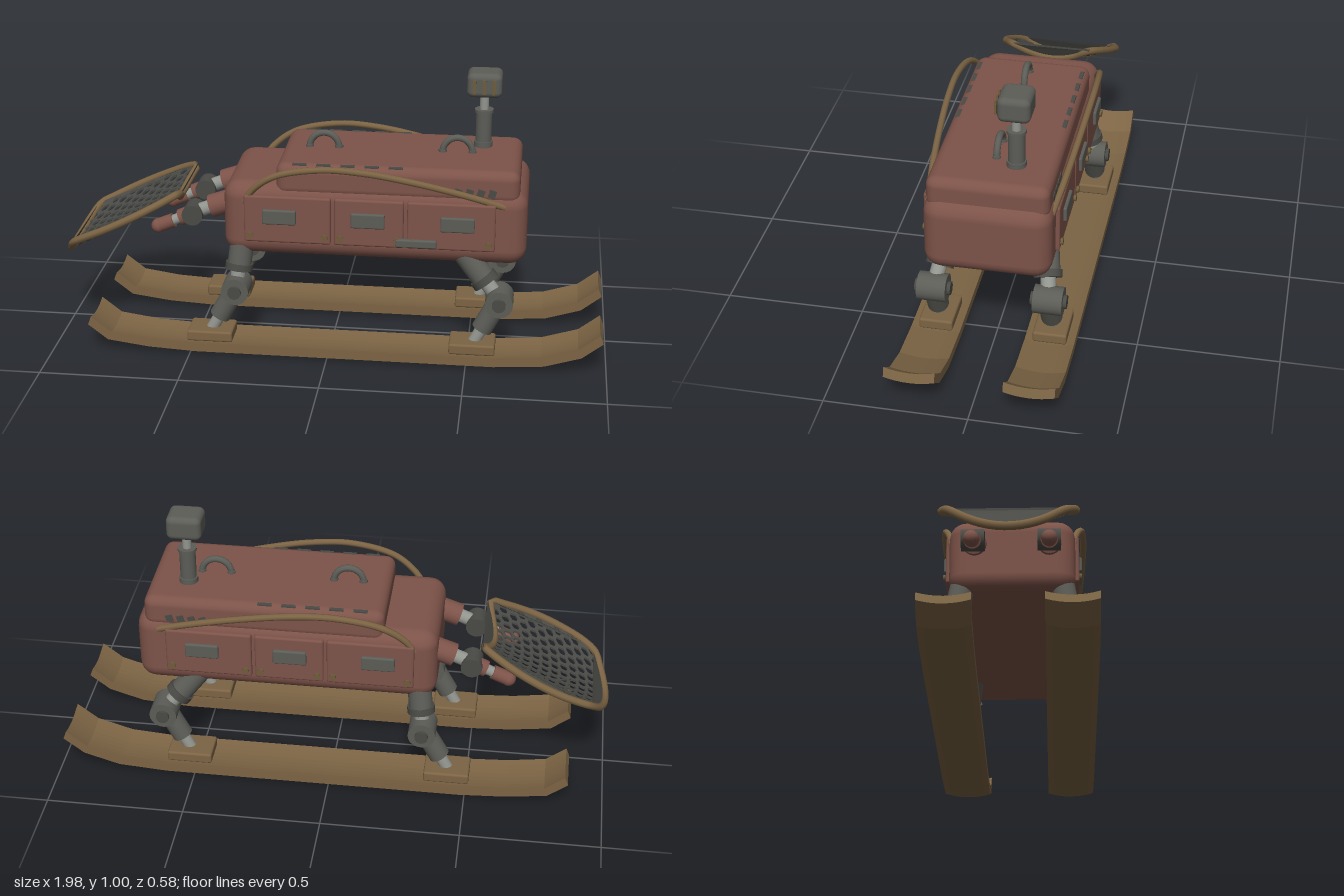
import * as THREE from 'three';
import { RoundedBoxGeometry } from 'three/addons/geometries/RoundedBoxGeometry.js';

const mat = (name, color) => Object.assign(new THREE.MeshStandardMaterial({ color }), { name });
const V = (x, y, z) => new THREE.Vector3(x, y, z);

export function createModel() {
  const red = mat('red brown shell', 0x7d5349);
  const wood = mat('tan wood', 0x7c6444);
  const grey = mat('grey metal', 0x5c5d57);
  const dark = mat('dark metal', 0x4a4a46);
  const silver = mat('silver rod', 0x93958f);
  const brass = mat('dull brass', 0x6f5c3a);

  const model = new THREE.Group();
  model.name = 'sledWalker';

  const add = (name, geo, material, x = 0, y = 0, z = 0, parent = model) => {
    const m = new THREE.Mesh(geo, material);
    m.name = name;
    m.position.set(x, y, z);
    parent.add(m);
    return m;
  };
  const box = (name, material, w, h, d, x, y, z, r = 0) =>
    add(name, r ? new RoundedBoxGeometry(w, h, d, 3, r) : new THREE.BoxGeometry(w, h, d), material, x, y, z);
  // Cylinder running from a to b
  const rod = (name, material, a, b, r0, r1 = r0, sides = 20) => {
    const dir = b.clone().sub(a);
    const mid = a.clone().lerp(b, 0.5);
    const m = add(name, new THREE.CylinderGeometry(r1, r0, dir.length(), sides), material, mid.x, mid.y, mid.z);
    m.quaternion.setFromUnitVectors(V(0, 1, 0), dir.normalize());
    return m;
  };
  const tube = (name, material, pts, r, closed = false) =>
    add(name, new THREE.TubeGeometry(new THREE.CatmullRomCurve3(pts, closed, 'centripetal'), 64, r, 8, closed), material);

  // Hull and lid
  box('hull', red, 1.08, 0.275, 0.44, 0.16, 0.508, 0, 0.06);
  box('lid', red, 0.86, 0.12, 0.42, 0.24, 0.66, 0, 0.035);

  // Lid handles
  for (const x of [-0.04, 0.44]) {
    add('lidHandle', new THREE.TorusGeometry(0.053, 0.012, 10, 20, Math.PI), grey, x, 0.72, 0);
    for (const s of [-1, 1]) add('handleFoot', new THREE.CylinderGeometry(0.015, 0.015, 0.012, 12), grey, x + s * 0.053, 0.722, 0);
  }

  // Sensor mast
  const mx = 0.528, mz = -0.075;
  for (const [y0, y1, r, c] of [[0.71, 0.86, 0.029, grey], [0.722, 0.742, 0.034, grey], [0.85, 0.861, 0.034, grey], [0.85, 0.93, 0.016, silver]])
    rod('mast', c, V(mx, y0, mz), V(mx, y1, mz), r);
  box('sensorHead', grey, 0.125, 0.09, 0.112, mx, 0.96, mz, 0.022);
  for (const dx of [-0.035, 0, 0.035]) box('sensorSlat', brass, 0.011, 0.052, 0.007, mx + dx, 0.96, -0.012);

  // Details and running gear, mirrored to both sides
  for (const s of [-1, 1]) {
    // Side panels with windows and bolts
    for (const [x0, x1, wx] of [[-0.3, 0.01, -0.173], [0.022, 0.268, 0.142], [0.28, 0.59, 0.458]]) {
      box('sidePanel', red, x1 - x0, 0.175, 0.026, (x0 + x1) / 2, 0.52, s * 0.221, 0.008);
      box('window', grey, 0.12, 0.055, 0.02, wx, 0.532, s * 0.235, 0.006);
      for (const x of [x0 + 0.022, x1 - 0.022]) rod('bolt', brass, V(x, 0.46, s * 0.22), V(x, 0.46, s * 0.243), 0.012, 0.012, 10);
    }
    // Vents on the lid top and the lid side
    for (let i = 0; i < 5; i++) box('lidVent', dark, 0.05, 0.01, 0.014, -0.105 + i * 0.085, 0.714, s * 0.188);
    for (let i = 0; i < 4; i++) box('sideVent', dark, 0.025, 0.028, 0.01, 0.455 + i * 0.04, 0.643, s * 0.208).rotation.z = -0.3;

    // Bowed grab rail
    tube('grabRail', wood, [V(-0.3, 0.58, s * 0.213), V(-0.26, 0.635, s * 0.226), V(-0.18, 0.69, s * 0.244),
      V(-0.02, 0.722, s * 0.254), V(0.13, 0.715, s * 0.252), V(0.3, 0.685, s * 0.243), V(0.48, 0.64, s * 0.228), V(0.62, 0.595, s * 0.21)], 0.012);

    // Legs: telescopic thigh, round knee, telescopic shin
    for (const [hx, hy, kx, ky, ax] of [[-0.312, 0.455, -0.336, 0.24, -0.43], [0.46, 0.43, 0.612, 0.24, 0.525]]) {
      const hip = V(hx, hy, s * 0.165), knee = V(kx, ky, s * 0.203), ankle = V(ax, 0.07, s * 0.203);
      const on = (a, b, t) => a.clone().lerp(b, t);
      add('hipJoint', new THREE.SphereGeometry(0.05, 20, 14), grey, hip.x, hip.y, hip.z);
      rod('thigh', grey, hip, on(hip, knee, 0.68), 0.043);
      rod('thighCollar', dark, on(hip, knee, 0.58), on(hip, knee, 0.69), 0.05);
      rod('thighRod', silver, on(hip, knee, 0.6), knee, 0.027);
      rod('knee', grey, V(kx, ky, s * 0.152), V(kx, ky, s * 0.254), 0.05);
      rod('kneeCap', dark, V(kx, ky, s * 0.14), V(kx, ky, s * 0.266), 0.024);
      rod('shin', grey, knee, on(knee, ankle, 0.68), 0.038);
      rod('shinRod', silver, on(knee, ankle, 0.6), ankle, 0.022);
      box('skiBinding', wood, 0.165, 0.04, 0.12, ax + (ax < 0 ? 0 : -0.005), 0.062, s * 0.203, 0.008);
    }

    // Ski: side profile extruded across, then cupped
    const line = [[-0.872, 0.098], [-0.8, 0.042], [-0.65, 0.022], [-0.48, 0.013], [0.6, 0.013], [0.78, 0.026], [0.91, 0.066], [0.985, 0.125]];
    const profile = new THREE.Shape([
      ...line.map(([x, y]) => new THREE.Vector2(x, y - 0.011)),
      ...line.map(([x, y]) => new THREE.Vector2(x - Math.sign(x) * (Math.abs(x) > 0.7 ? 0.012 : 0), y + 0.021)).reverse()]);
    const ski = new THREE.ExtrudeGeometry(profile, { depth: 0.175, steps: 8, bevelEnabled: false });
    ski.translate(0, 0, -0.0875);
    const p = ski.attributes.position;
    for (let i = 0; i < p.count; i++) p.setY(i, p.getY(i) + 0.013 * (p.getZ(i) / 0.0875) ** 2);
    ski.computeVertexNormals();
    add('ski', ski, wood, 0, 0, s * 0.203);

    // Arm holding the scoop
    const z = s * 0.13;
    rod('shoulder', red, V(-0.34, 0.555, z), V(-0.435, 0.522, z), 0.042);
    rod('upperArmRod', silver, V(-0.42, 0.527, z), V(-0.5, 0.495, z), 0.025);
    rod('elbow', dark, V(-0.5, 0.495, z - 0.04), V(-0.5, 0.495, z + 0.04), 0.038);
    rod('forearm', red, V(-0.5, 0.495, z), V(-0.55, 0.472, z), 0.03);
    rod('forearmRod', silver, V(-0.54, 0.477, z), V(-0.59, 0.453, z), 0.019);
    rod('wrist', red, V(-0.575, 0.46, z), V(-0.63, 0.437, z), 0.026);
    add('hand', new THREE.SphereGeometry(0.027, 16, 12), red, -0.632, 0.436, z);
  }

  // Single latch bar on the front side
  box('latchBar', grey, 0.145, 0.03, 0.02, 0.313, 0.455, 0.236, 0.006);

  // Scoop surface: u runs along it, v runs across it
  const scoop = (u, v, w = 0) => {
    const q = v * v, mix = THREE.MathUtils.lerp;
    return V(mix(-0.985 + 0.05 * q, -0.57 + 0.035 * q, u), mix(0.298 + 0.085 * q, 0.515 + 0.065 * q, u) + w,
      -v * (0.185 + 0.16 * u - 0.195 * u * u));
  };
  const mesh = new THREE.Shape([[0, -1], [1, -1], [1, 1], [0, 1]].map(([x, y]) => new THREE.Vector2(x, y)));
  for (let i = 0; i < 12; i++) {
    for (let j = 0; j < 11 - (i % 2); j++) {
      const cu = (i + 0.5) / 12, cv = -0.87 + 0.174 * (j + (i % 2) / 2);
      const hole = [];
      for (let k = 0; k < 6; k++) {
        const a = -k * Math.PI / 3;
        hole.push(new THREE.Vector2(cu + 0.036 * Math.cos(a), cv + 0.072 * Math.sin(a)));
      }
      mesh.holes.push(new THREE.Path(hole));
    }
  }
  const net = new THREE.ExtrudeGeometry(mesh, { depth: 0.008, bevelEnabled: false });
  const np = net.attributes.position;
  for (let i = 0; i < np.count; i++) {
    const c = scoop(np.getX(i), np.getY(i), np.getZ(i) - 0.004);
    np.setXYZ(i, c.x, c.y, c.z);
  }
  net.computeVertexNormals();
  add('scoopNet', net, dark);

  // Bent wooden rim around the net
  const rim = [];
  for (let i = 0; i < 8; i++) rim.push(scoop(0, -0.94 + i * 0.235));
  for (let i = 0; i < 8; i++) rim.push(scoop(0.03 + i * 0.121, 1));
  for (let i = 0; i < 8; i++) rim.push(scoop(1, 0.94 - i * 0.235));
  for (let i = 0; i < 8; i++) rim.push(scoop(0.97 - i * 0.121, -1));
  tube('scoopRim', wood, rim, 0.014, true);

  return model;
}
